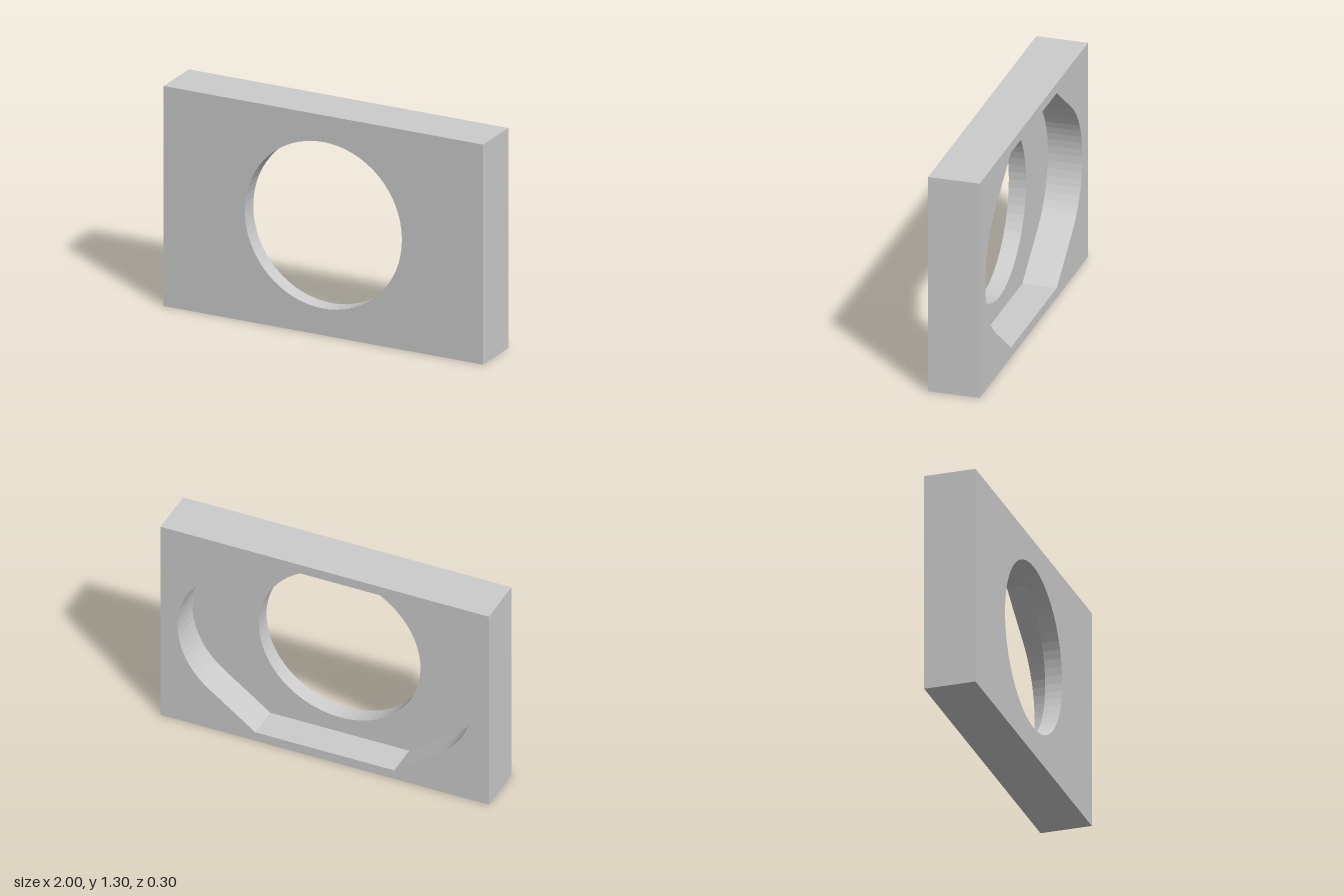
import * as THREE from 'three';

const W = 1, H = 0.65, FRONT = 0.15, BACK = -0.15, FLOOR = 0.05;
const HOLE_R = 0.492;
const FLAT_X = 0.423, FLAT_Y = 0.592, END_R = 0.474; // pocket outline

const material = new THREE.MeshStandardMaterial({ color: 0xcccccc });

// Outlines, all counter-clockwise and centred on the hole
const rectangle = [[-W, -H], [W, -H], [W, H], [-W, H]].map(p => new THREE.Vector2(...p));

function arc(cx, r, from, to, steps) {
  return Array.from({ length: steps + 1 }, (_, i) => {
    const a = from + (to - from) * i / steps;
    return new THREE.Vector2(cx + r * Math.cos(a), r * Math.sin(a));
  });
}

const circle = arc(0, HOLE_R, 0, Math.PI * 2, 64).slice(0, -1);

// Rounded ends run tangentially into sloping sides and a flat top and bottom
const tangent = Math.asin(END_R / FLAT_Y);
const pocket = [
  new THREE.Vector2(FLAT_X, -FLAT_Y),
  ...arc(FLAT_X, END_R, -tangent, tangent, 20),
  new THREE.Vector2(FLAT_X, FLAT_Y),
  new THREE.Vector2(-FLAT_X, FLAT_Y),
  ...arc(-FLAT_X, END_R, Math.PI - tangent, Math.PI + tangent, 20),
  new THREE.Vector2(-FLAT_X, -FLAT_Y),
];

// Flat face with one opening, turned to the back when asked
function face(outline, opening, z, toBack) {
  const shape = new THREE.Shape(outline);
  shape.holes.push(new THREE.Path(opening));
  const geometry = new THREE.ShapeGeometry(shape);
  if (toBack) geometry.rotateY(Math.PI);
  return geometry.translate(0, H, z);
}

// Straight wall along an outline, facing outward or into the opening
function wall(outline, z0, z1, inward) {
  const points = inward ? [...outline].reverse() : outline;
  const v = [];
  points.forEach((p, i) => {
    const q = points[(i + 1) % points.length];
    v.push(p.x, p.y, z0, q.x, q.y, z0, q.x, q.y, z1);
    v.push(p.x, p.y, z0, q.x, q.y, z1, p.x, p.y, z1);
  });
  const geometry = new THREE.BufferGeometry();
  geometry.setAttribute('position', new THREE.Float32BufferAttribute(v, 3));
  geometry.computeVertexNormals();
  return geometry.translate(0, H, 0);
}

export function createModel() {
  const group = new THREE.Group();
  group.name = 'recessedPlate';
  const parts = {
    frontFace: face(rectangle, circle, FRONT, false),
    backFace: face(rectangle, pocket, BACK, true),
    pocketFloor: face(pocket, circle, FLOOR, true),
    outerSides: wall(rectangle, BACK, FRONT, false),
    pocketWall: wall(pocket, BACK, FLOOR, true),
    holeWall: wall(circle, FLOOR, FRONT, true),
  };
  for (const [name, geometry] of Object.entries(parts)) {
    const mesh = new THREE.Mesh(geometry, material);
    mesh.name = name;
    group.add(mesh);
  }
  return group;
}
